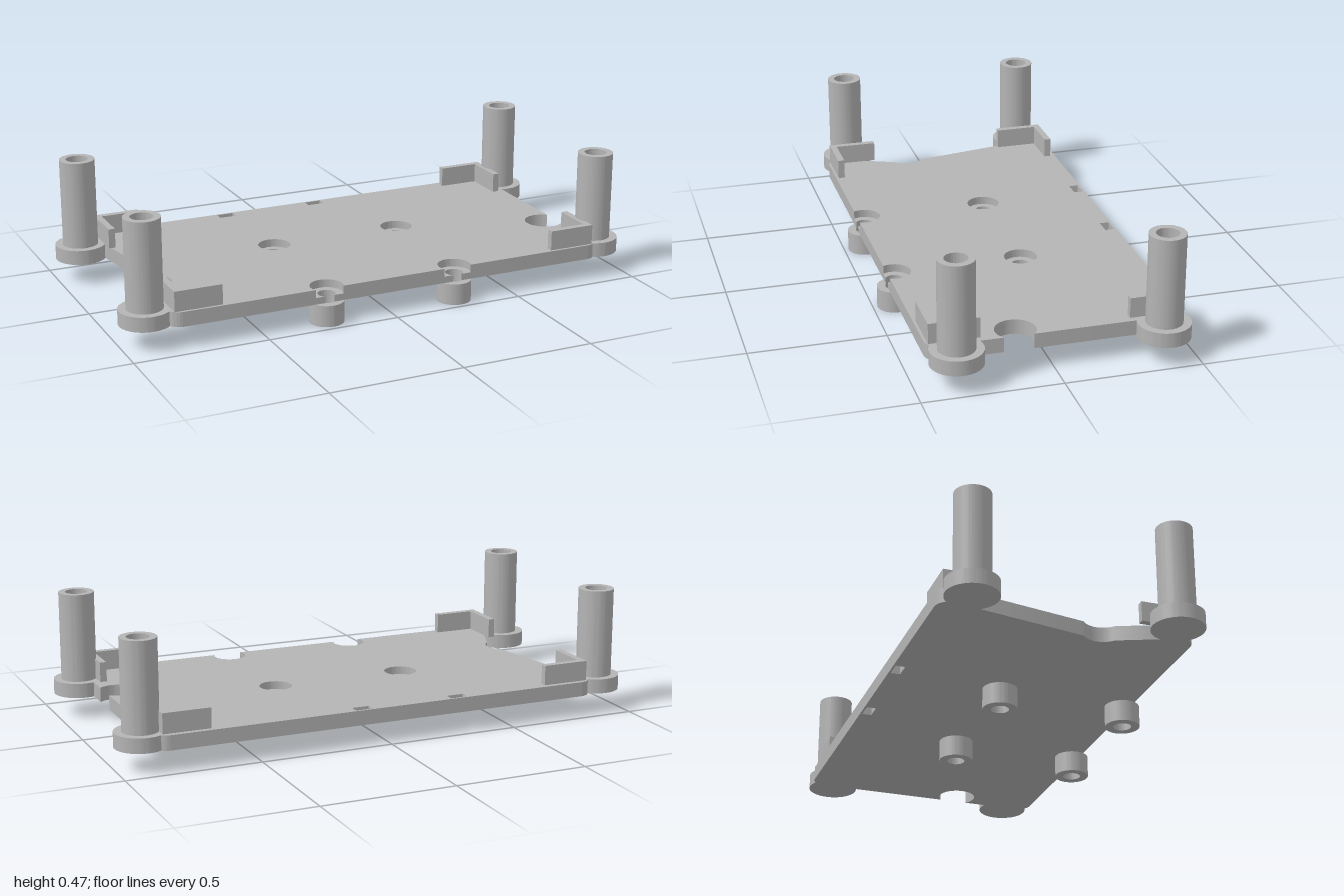
import * as THREE from 'three';
import { toCreasedNormals } from 'three/addons/utils/BufferGeometryUtils.js';

const X0 = -0.845, X1 = 0.875, Z0 = -0.483, Z1 = 0.447; // plate edges
const BOTTOM = 0.08, LEDGE = 0.105, TOP = 0.135, POST_TOP = 0.468, WALL_TOP = 0.21;
const MOUNT_X = [-0.245, 0.27], MOUNT_BACK = -0.06, MOUNT_FRONT = 0.419;
const CORNER = 0.05, BITE_R = 0.073, BITE_Z = 0.124;

export function createModel() {
  const group = new THREE.Group();
  const grey = new THREE.MeshStandardMaterial({ color: 0xb4b4b4 });
  grey.name = 'grey plastic';

  const add = (name, geometry) => {
    const mesh = new THREE.Mesh(geometry, grey);
    mesh.name = name;
    group.add(mesh);
    return mesh;
  };

  // Plan shapes are drawn in x and -z, then raised from y0 to y1
  const raise = (shape, y0, y1) => {
    const g = new THREE.ExtrudeGeometry(shape, { depth: y1 - y0, bevelEnabled: false, curveSegments: 40 });
    g.rotateX(-Math.PI / 2).translate(0, y0, 0);
    return toCreasedNormals(g, 0.6);
  };
  const circle = (Type, x, z, r) => new Type().absarc(x, -z, r, 0, Math.PI * 2, false);
  const rect = (Type, x0, x1, z0, z1) => new Type([
    [x0, -z1], [x1, -z1], [x1, -z0], [x0, -z0],
  ].map(([x, y]) => new THREE.Vector2(x, y)));
  const tube = (x, z, r, inner, y0, y1) => {
    const s = circle(THREE.Shape, x, z, r);
    s.holes.push(circle(THREE.Path, x, z, inner));
    return raise(s, y0, y1);
  };

  // Plate layer: rounded outline with side bites, screw holes and cable slots
  const plateShape = (holeR) => {
    const s = new THREE.Shape();
    const h = Math.PI / 2, c = CORNER;
    s.moveTo(X0 + c, -Z1);
    const front = Math.asin((Z1 - MOUNT_FRONT) / holeR);
    for (const x of MOUNT_X) s.absarc(x, -MOUNT_FRONT, holeR, Math.PI + front, -front, true);
    s.absarc(X1 - c, -Z1 + c, c, -h, 0, false);
    const right = Math.asin(0.049 / BITE_R);
    s.absarc(X1 - 0.049, -BITE_Z, BITE_R, right - h, h - right - 2 * Math.PI, true);
    s.absarc(X1 - c, -Z0 - c, c, 0, h, false);
    s.absarc(X0 + c, -Z0 - c, c, h, Math.PI, false);
    const left = Math.asin(0.045 / BITE_R);
    s.absarc(X0 + 0.045, -BITE_Z, BITE_R, h + left - 2 * left, left - h, true);
    s.absarc(X0 + c, -Z1 + c, c, Math.PI, 3 * h, false);
    for (const x of MOUNT_X) s.holes.push(circle(THREE.Path, x, MOUNT_BACK, holeR));
    for (const x of [-0.315, 0.065]) s.holes.push(rect(THREE.Path, x, x + 0.065, -0.475, -0.44));
    return s;
  };
  add('plateLower', raise(plateShape(0.033), BOTTOM, LEDGE));
  add('plateUpper', raise(plateShape(0.061), LEDGE, TOP));

  // Hollow feet under the screw holes
  for (const x of MOUNT_X) {
    for (const z of [MOUNT_BACK, MOUNT_FRONT]) add('foot', tube(x, z, 0.064, 0.033, 0, BOTTOM));
  }

  // Corner discs with hollow posts
  for (const x of [-0.905, 0.905]) {
    for (const z of [-0.387, 0.352]) {
      add('cornerDisc', raise(circle(THREE.Shape, x, z, 0.095), BOTTOM, TOP));
      add('post', tube(x, z, 0.066, 0.041, TOP, POST_TOP));
    }
  }

  // L-shaped corner walls: outer corner, then arms pointing inward
  const T = 0.025, ARM_X = 0.178, ARM_Z = 0.183;
  for (const [x, sx] of [[-0.826, 1], [0.851, -1]]) {
    for (const [z, sz] of [[-0.464, 1], [0.437, -1]]) {
      const points = [[0, 0], [ARM_X, 0], [ARM_X, T], [T, T], [T, ARM_Z], [0, ARM_Z]]
        .map(([a, b]) => new THREE.Vector2(x + sx * a, -(z + sz * b)));
      add('cornerWall', raise(new THREE.Shape(points), TOP, WALL_TOP));
    }
  }
  return group;
}
